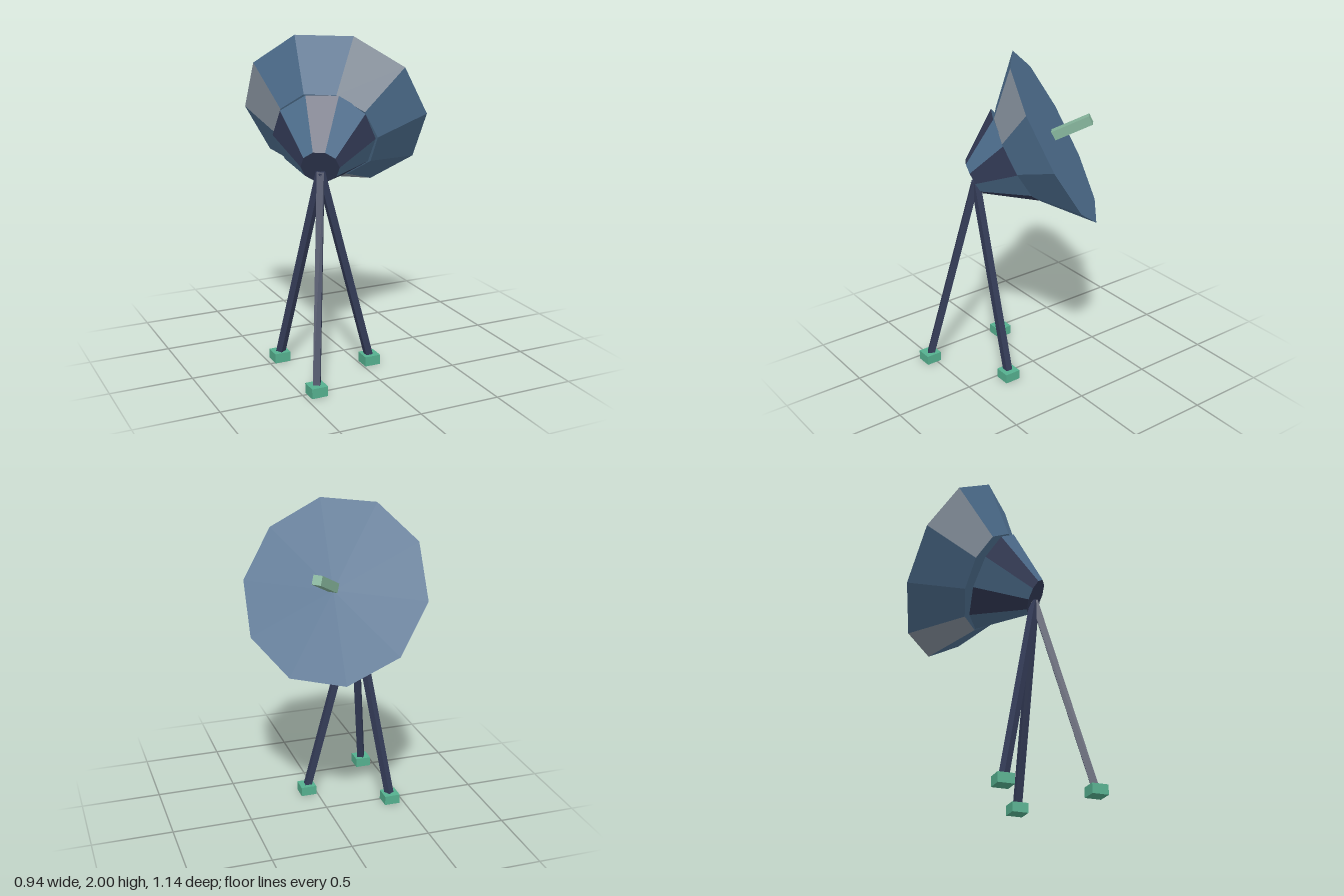
import * as THREE from 'three';

const rad = THREE.MathUtils.degToRad;
const material = (name, color) => {
  const m = new THREE.MeshStandardMaterial({ color });
  m.name = name;
  return m;
};

// Ten-sided frustum along local z (front at z = 0, back at z = depth).
// pick(k) gives the material index of side panel k.
function panelledFrustum(frontRadius, backRadius, depth, pick, frontCap, backCap) {
  const indexed = new THREE.CylinderGeometry(backRadius, frontRadius, depth, 10, 1, false, rad(18));
  indexed.rotateX(Math.PI / 2).translate(0, 0, depth / 2);
  const geometry = indexed.toNonIndexed();
  geometry.computeVertexNormals();
  geometry.clearGroups();
  for (let k = 0; k < 10; k++) geometry.addGroup(k * 6, 6, pick(k));
  geometry.addGroup(60, 30, backCap);
  geometry.addGroup(90, 30, frontCap);
  return geometry;
}

export function createModel() {
  const model = new THREE.Group();
  model.name = 'dishAntenna';

  const blue = material('slateBlue', 0x4f7090);
  const grey = material('paleGrey', 0x8a95a2);
  const navy = material('darkNavy', 0x343c58);
  const green = material('footGreen', 0x55b08f);
  const sage = material('feedSage', 0x86b59c);

  const add = (name, geometry, mat, position, pitch = 0, yaw = 0) => {
    const mesh = new THREE.Mesh(geometry, mat);
    mesh.name = name;
    mesh.position.set(...position);
    mesh.rotation.set(rad(pitch), rad(yaw), 0, 'YXZ');
    model.add(mesh);
    return mesh;
  };

  // Wide dish with a flat face and a few pale panels on its back
  const palePanels = [3, 6, 9];
  add('dish', panelledFrustum(0.572, 0.315, 0.245, k => (palePanels.includes(k) ? 1 : 0), 0, 0),
    [blue, grey], [0.01, 1.52, -0.156], 28, -38.3);

  // Rear housing with alternating panels, turned slightly against the dish
  add('rearHousing', panelledFrustum(0.315, 0.114, 0.285, k => (k % 2 ? 0 : 1), 0, 1),
    [blue, navy], [-0.137, 1.403, 0.028], 27.5, -31);

  // Square feed rod standing out of the dish face
  add('feedRod', new THREE.BoxGeometry(0.057, 0.057, 0.3).translate(0, 0, 0.15),
    sage, [0.157, 1.643, -0.312], 26, -43.2);

  // Tripod legs from a shared apex, each on a square foot
  const apex = new THREE.Vector3(-0.262, 1.24, 0.24);
  const feet = [[-0.42, 0.52], [-0.42, -0.04], [0.06, 0.24]];
  for (const [x, z] of feet) {
    add('foot', new THREE.BoxGeometry(0.1, 0.06, 0.1), green, [x, 0.03, z]);
    const base = new THREE.Vector3(x, 0.03, z);
    const leg = add('leg', new THREE.BoxGeometry(0.042, 0.042, apex.distanceTo(base)), navy,
      base.clone().lerp(apex, 0.5).toArray());
    leg.lookAt(apex);
  }

  return model;
}
